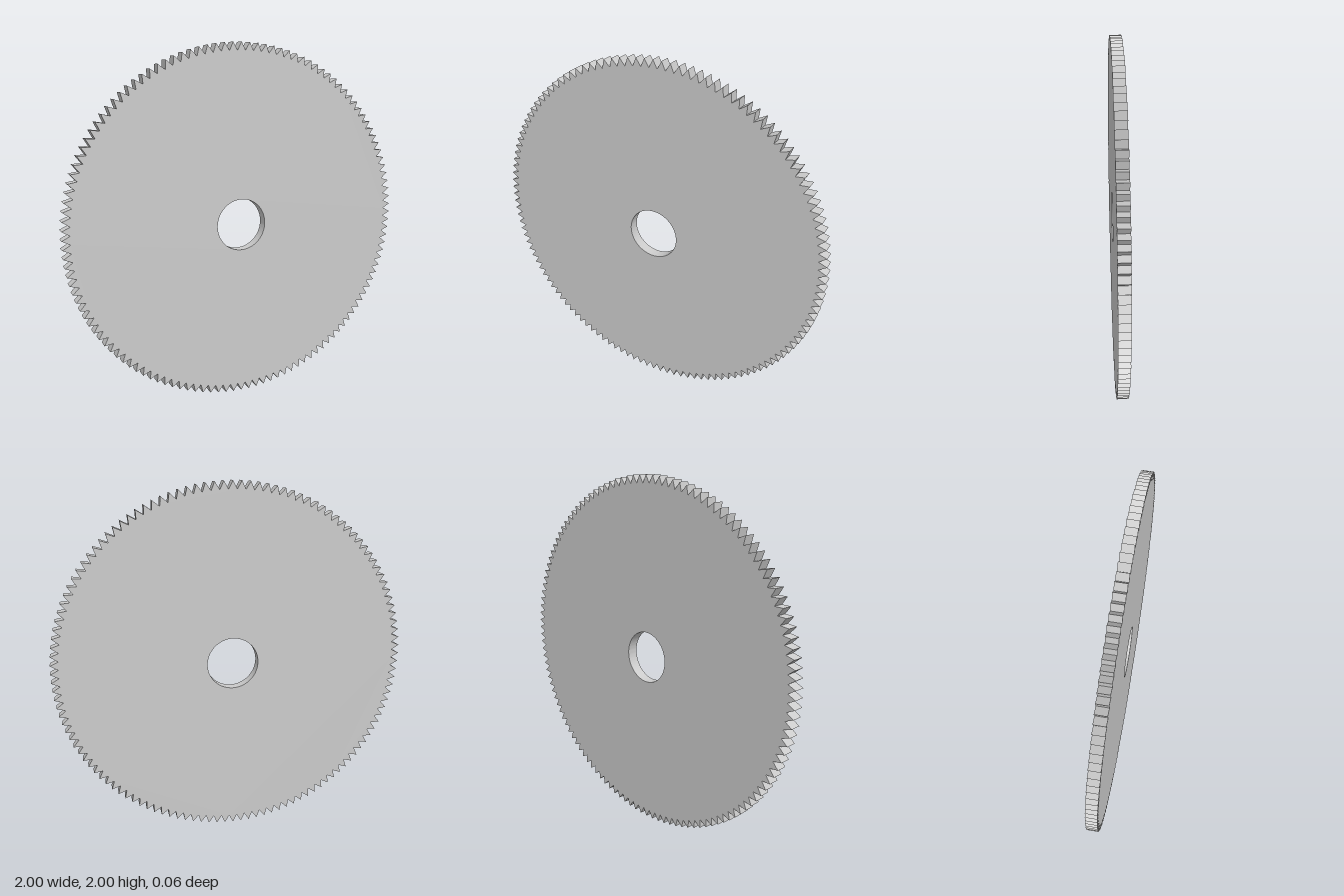
import * as THREE from 'three';
import { toCreasedNormals } from 'three/addons/utils/BufferGeometryUtils.js';

const TEETH = 128;
const TIP_RADIUS = 1;
const ROOT_RADIUS = 0.955;
const BORE_RADIUS = 0.145;
const THICKNESS = 0.062;

export function createModel() {
  const group = new THREE.Group();
  group.name = 'circularSawBlade';

  // Toothed outline: tips and roots alternate around the rim
  const outline = [];
  for (let i = 0; i < TEETH * 2; i++) {
    const angle = Math.PI / 2 + (i * Math.PI) / TEETH;
    const r = i % 2 === 0 ? TIP_RADIUS : ROOT_RADIUS;
    outline.push(new THREE.Vector2(Math.cos(angle) * r, Math.sin(angle) * r));
  }
  const shape = new THREE.Shape(outline);

  // Round arbor hole through the middle
  shape.holes.push(new THREE.Path().absarc(0, 0, BORE_RADIUS, 0, Math.PI * 2, true));

  const plate = new THREE.ExtrudeGeometry(shape, {
    depth: THICKNESS,
    bevelEnabled: false,
    curveSegments: 64,
  });
  plate.translate(0, 0, -THICKNESS / 2);

  // Sharp teeth and faces, smooth bore wall
  const blade = new THREE.Mesh(
    toCreasedNormals(plate, 0.4),
    new THREE.MeshStandardMaterial({ color: 0xcccccc })
  );
  blade.name = 'toothedBlade';
  blade.position.y = TIP_RADIUS;
  group.add(blade);

  return group;
}
